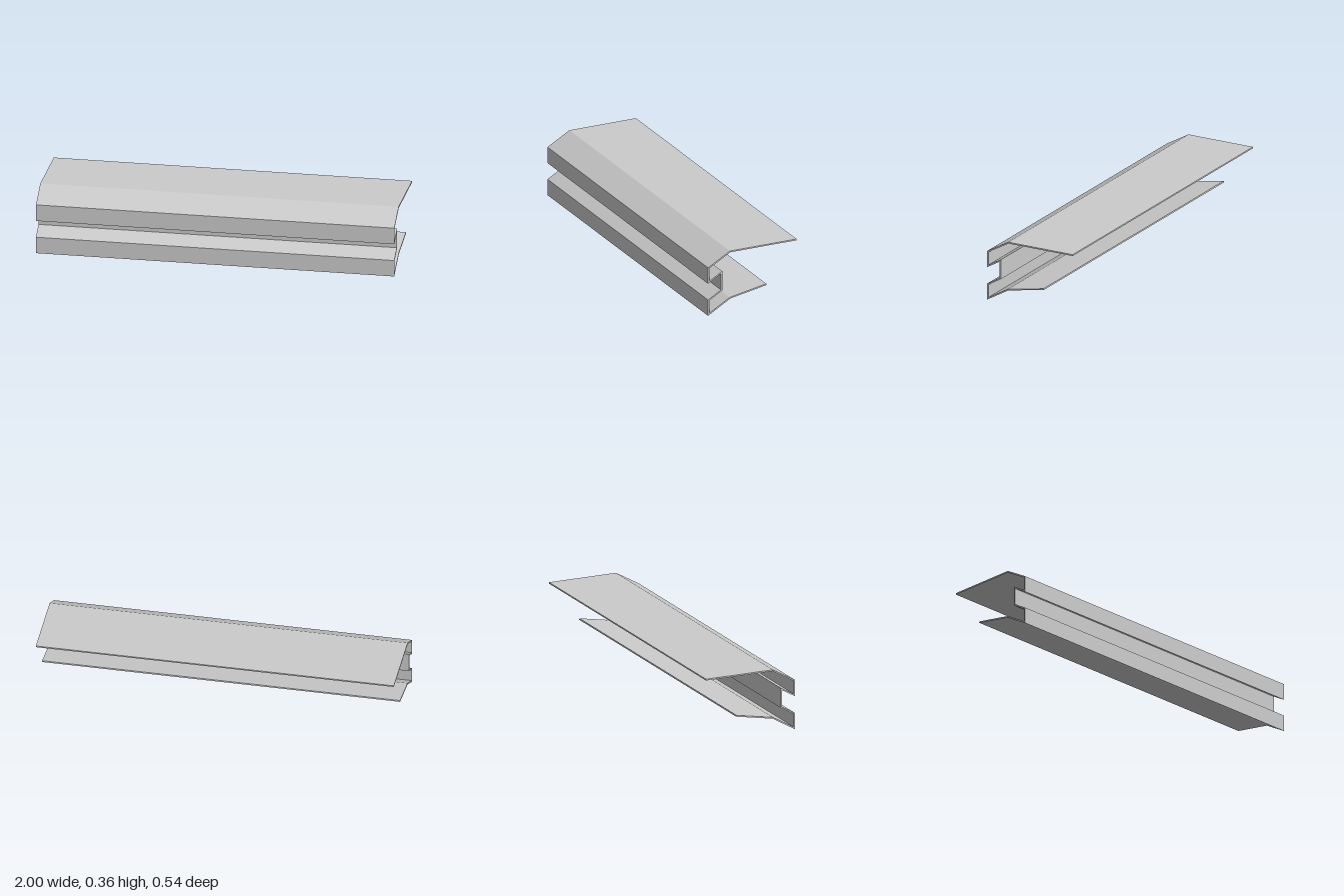
import * as THREE from 'three';

const LENGTH = 2;
const HALF = 0.004; // half the sheet thickness

// Centreline of the folded sheet as [z, y], from the top flange to the bottom lip
const FOLDS = [
  [-0.27, 0.356], [0.136, 0.356],   // top flange
  [0.267, 0.2817], [0.267, 0.1968], // slope and upper front face
  [0.188, 0.2422], [0.188, 0.1375], // groove and its back wall
  [0.267, 0.0918], [0.267, 0.0075], // lower front face
  [0.136, 0.083], [-0.086, 0.124],  // underside and rear lip
].map(([z, y]) => new THREE.Vector2(z, y));

// Offsets the centreline sideways, with mitred corners
function offsetPath(points, distance) {
  const normal = (a, b) => {
    const d = b.clone().sub(a).normalize();
    return new THREE.Vector2(-d.y, d.x);
  };
  return points.map((p, i) => {
    const before = normal(points[Math.max(i - 1, 0)], points[Math.max(i, 1)]);
    const last = points.length - 1;
    const after = normal(points[Math.min(i, last - 1)], points[Math.min(i + 1, last)]);
    const miter = before.clone().add(after).normalize();
    return p.clone().addScaledVector(miter, distance / miter.dot(before));
  });
}

export function createModel() {
  const group = new THREE.Group();
  group.name = 'sheetMetalRail';

  // Closed section: one side of the sheet out, the other side back
  const section = new THREE.Shape([
    ...offsetPath(FOLDS, HALF),
    ...offsetPath(FOLDS, -HALF).reverse(),
  ]);
  const geometry = new THREE.ExtrudeGeometry(section, { depth: LENGTH, bevelEnabled: false });
  geometry.translate(0, 0, -LENGTH / 2);
  geometry.rotateY(-Math.PI / 2); // section x becomes z, length runs along x

  const material = new THREE.MeshStandardMaterial({ color: 0xcccccc, flatShading: true });
  const profile = new THREE.Mesh(geometry, material);
  profile.name = 'foldedProfile';
  group.add(profile);
  return group;
}
